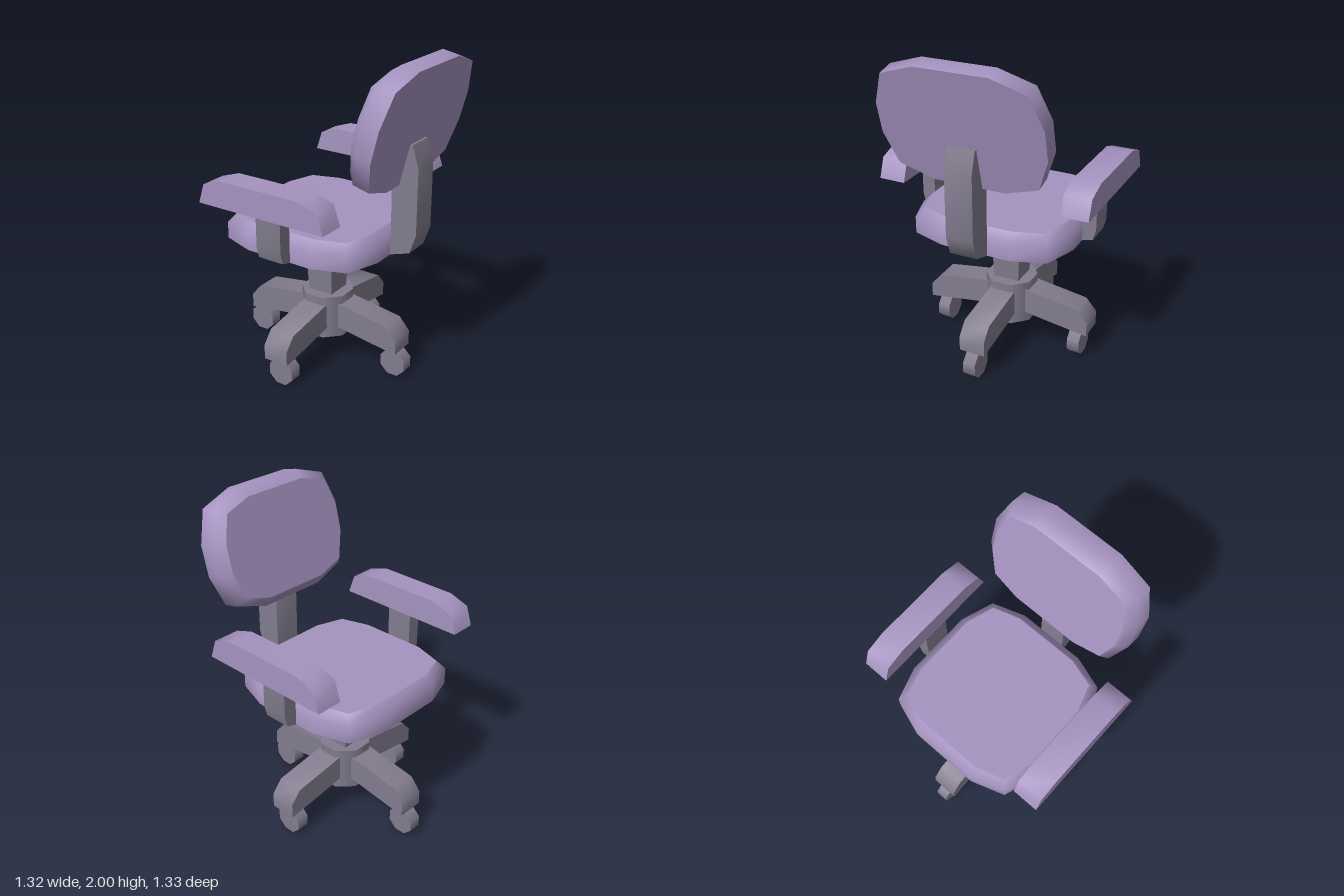
import * as THREE from 'three';
import { mergeGeometries, toCreasedNormals } from 'three/addons/utils/BufferGeometryUtils.js';

const AXIS_X = -0.07; // centre line of seat, column and base

// Profile extruded symmetrically along z, with gentle bends shaded smooth
function slab(points, width) {
  const shape = new THREE.Shape(points.map(([x, y]) => new THREE.Vector2(x, y)));
  const geo = new THREE.ExtrudeGeometry(shape, { depth: width, bevelEnabled: false });
  geo.translate(0, 0, -width / 2);
  return toCreasedNormals(geo, 1.0);
}

// Twelve-sided outline from one quadrant, mirrored round
function outline(quadrant) {
  const [a, b, c] = quadrant;
  const flip = (list, sx, sz) => list.map(([x, z]) => [x * sx, z * sz]);
  return [
    ...flip([a, b, c], 1, 1), ...flip([c, b, a], -1, 1),
    ...flip([a, b, c], -1, -1), ...flip([c, b, a], 1, -1),
  ];
}

function indexed(positions, index) {
  const geo = new THREE.BufferGeometry();
  geo.setAttribute('position', new THREE.Float32BufferAttribute(positions, 3));
  geo.setIndex(index);
  geo.computeVertexNormals();
  return geo.toNonIndexed();
}

// Padded cushion: flat base, straight side, bevel to a flat top
function cushion(quadrant) {
  const [a, b, c] = quadrant;
  const outer = outline(quadrant);
  const inner = outline([
    [a[0] - 0.055, a[1] - 0.005],
    [b[0] - 0.04, b[1] - 0.04],
    [c[0] - 0.01, c[1] - 0.055],
  ]);
  const n = outer.length;
  const ring = (pts, y) => pts.flatMap(([x, z]) => [x, y, z]);

  // Smooth skirt
  const skirtIndex = [];
  for (let r = 0; r < 2; r++) {
    for (let i = 0; i < n; i++) {
      const j = (i + 1) % n, lo = r * n, hi = lo + n;
      skirtIndex.push(lo + i, hi + i, lo + j, hi + i, hi + j, lo + j);
    }
  }
  const skirt = indexed([...ring(outer, 0), ...ring(outer, 0.105), ...ring(inner, 0.16)], skirtIndex);

  // Flat caps
  const topIndex = [], baseIndex = [];
  for (let i = 1; i < n - 1; i++) {
    topIndex.push(0, i + 1, i);
    baseIndex.push(0, i, i + 1);
  }
  return mergeGeometries([
    skirt, indexed(ring(inner, 0.16), topIndex), indexed(ring(outer, 0), baseIndex),
  ]);
}

export function createModel() {
  const chair = new THREE.Group();
  chair.name = 'officeChair';

  const purple = new THREE.MeshStandardMaterial({ color: 0xa593c0 });
  purple.name = 'purple fabric';
  const grey = new THREE.MeshStandardMaterial({ color: 0x827c8e });
  grey.name = 'grey plastic';

  function add(name, geo, material, x = 0, y = 0, z = 0) {
    const mesh = new THREE.Mesh(geo, material);
    mesh.name = name;
    mesh.position.set(x, y, z);
    chair.add(mesh);
    return mesh;
  }

  // Seat and tilted backrest
  add('seat', cushion([[0.5, 0.22], [0.43, 0.43], [0.22, 0.5]]), purple, AXIS_X, 0.84, 0);
  const back = add('backrest', cushion([[0.36, 0.22], [0.29, 0.43], [0.095, 0.5]]), purple, 0.565, 1.628, 0);
  back.rotation.z = 1.318;

  // Upright joining the seat to the backrest
  add('backSupport', slab([
    [0.43, 0.84], [0.555, 0.88], [0.595, 1.0], [0.595, 1.4],
    [0.555, 1.53], [0.53, 1.53], [0.43, 1.29],
  ], 0.17), grey);

  // Armrests and their posts
  const padGeo = slab([
    [-0.5, 1.15], [0.36, 1.15], [0.317, 1.27], [0.19, 1.312], [-0.335, 1.312], [-0.46, 1.27],
  ], 0.165);
  const postGeo = slab([
    [0.5, 0.84], [0.567, 0.858], [0.585, 0.925], [0.585, 1.15], [0.5, 1.15],
  ], 0.17);
  for (const side of [1, -1]) {
    const label = side > 0 ? 'left' : 'right';
    add(label + 'ArmPad', padGeo, purple, 0, 0, side * 0.5825);
    add(label + 'ArmPost', postGeo, grey, AXIS_X, 0, 0).rotation.y = -side * Math.PI / 2;
  }

  // Square tapered column
  const columnGeo = new THREE.CylinderGeometry(0.103 * Math.SQRT2, 0.083 * Math.SQRT2, 0.4, 4, 1).toNonIndexed();
  columnGeo.rotateY(Math.PI / 4);
  columnGeo.computeVertexNormals();
  add('column', columnGeo, grey, AXIS_X, 0.64, 0);

  // Eight-sided hub
  const octagon = 1 / Math.cos(Math.PI / 8);
  const hubGeo = new THREE.CylinderGeometry(0.152 * octagon, 0.152 * octagon, 0.28, 8);
  hubGeo.rotateY(Math.PI / 8);
  add('hub', hubGeo, grey, AXIS_X, 0.31, 0);

  // Four base legs with casters
  const legGeo = slab([
    [0.1, 0.24], [0.55, 0.175], [0.55, 0.268], [0.482, 0.347], [0.1, 0.405],
  ], 0.165);
  const wheelGeo = new THREE.CylinderGeometry(0.083 * octagon, 0.083 * octagon, 0.08, 8);
  wheelGeo.rotateY(Math.PI / 8).rotateX(Math.PI / 2);
  const wheelSpots = [[0.507, 0], [0, -0.465], [-0.507, 0], [0, 0.465]];
  wheelSpots.forEach(([x, z], k) => {
    add('baseLeg' + (k + 1), legGeo, grey, AXIS_X, 0, 0).rotation.y = k * Math.PI / 2;
    add('caster' + (k + 1), wheelGeo, grey, AXIS_X + x, 0.084, z);
  });

  return chair;
}
